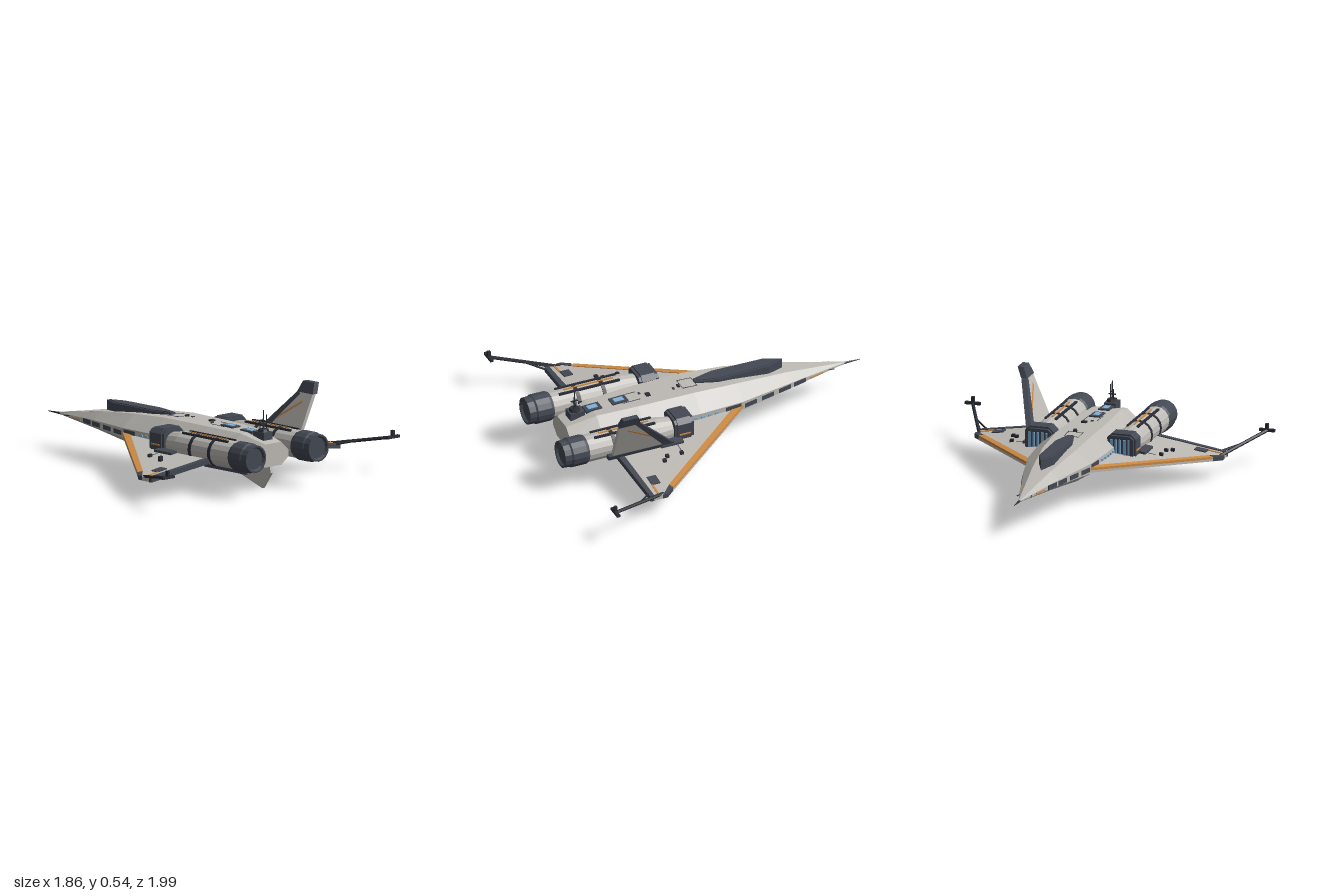
import * as THREE from 'three';

const mat = (name, color) => Object.assign(new THREE.MeshStandardMaterial({ color }), { name });
const hullGrey = mat('hull grey', 0xbdbab5);
const slate = mat('slate', 0x434853);
const charcoal = mat('charcoal', 0x2b2e35);
const orange = mat('orange', 0xcc8b45);
const blue = mat('light blue', 0x7fb2dc);

// Hull stations: z, half width, top y, bottom y
const stations = [
  [-0.9, 0.004, 0.206, 0.196], [-0.5, 0.11, 0.275, 0.165], [-0.17, 0.19, 0.312, 0.13],
  [0.1, 0.212, 0.328, 0.115], [0.45, 0.2, 0.325, 0.11], [0.7, 0.165, 0.318, 0.115], [0.88, 0.12, 0.275, 0.14],
];
function hullAt(z) {
  let i = 0;
  while (i < stations.length - 2 && z > stations[i + 1][0]) i++;
  const a = stations[i], b = stations[i + 1], t = (z - a[0]) / (b[0] - a[0]);
  return {
    w: a[1] + (b[1] - a[1]) * t, top: a[2] + (b[2] - a[2]) * t, bottom: a[3] + (b[3] - a[3]) * t,
    yaw: Math.atan2(b[1] - a[1], b[0] - a[0]), pitch: -Math.atan2(b[2] - a[2], b[0] - a[0]),
    belly: -Math.atan2(b[3] - a[3], b[0] - a[0]),
  };
}

export function createModel() {
  const model = new THREE.Group();
  model.name = 'spacecraft';

  const add = (name, geo, material, parent = model) => {
    const g = geo.index ? geo.toNonIndexed() : geo;
    g.computeVertexNormals(); // faceted look
    const m = new THREE.Mesh(g, material);
    m.name = name;
    parent.add(m);
    return m;
  };
  const box = (name, material, [w, h, d], [x, y, z], parent) => {
    const m = add(name, new THREE.BoxGeometry(w, h, d), material, parent);
    m.position.set(x, y, z);
    return m;
  };
  const rod = (name, material, a, b, r, r2 = r) => {
    const p = new THREE.Vector3(...a), q = new THREE.Vector3(...b), dir = q.clone().sub(p);
    const m = add(name, new THREE.CylinderGeometry(r2, r, dir.length(), 6), material);
    m.position.copy(p).add(q).multiplyScalar(0.5);
    m.quaternion.setFromUnitVectors(new THREE.Vector3(0, 1, 0), dir.normalize());
    return m;
  };
  const shapeOf = (pts) => new THREE.Shape(pts.map((p) => new THREE.Vector2(...p)));
  const extrude = (pts, depth) => new THREE.ExtrudeGeometry(shapeOf(pts), { depth, bevelEnabled: false });
  // Horizontal slab from x,z corners, from y0 up to y0 + t
  const slab = (pts, y0, t) => extrude(pts.map(([x, z]) => [x, -z]), t).rotateX(-Math.PI / 2).translate(0, y0, 0);
  // Upright plate from z,y corners, centred on x
  const upright = (pts, t) => extrude(pts, t).translate(0, 0, -t / 2).rotateY(-Math.PI / 2);

  // Eight-sided tapering hull
  const pos = [], n = 8;
  const rings = stations.map(([z, w, t, b]) => {
    const mid = 0.2 + (t + b - 0.4) * 0.3, up = mid + (t - mid) * 0.28, low = mid - (mid - b) * 0.35;
    return [[w * 0.52, t], [w, up], [w, low], [w * 0.55, b], [-w * 0.55, b], [-w, low], [-w, up], [-w * 0.52, t]]
      .map(([x, y]) => [x, y, z]);
  });
  for (let s = 0; s < rings.length - 1; s++) {
    for (let i = 0; i < n; i++) {
      const j = (i + 1) % n, A = rings[s][i], B = rings[s][j], C = rings[s + 1][j], D = rings[s + 1][i];
      pos.push(...A, ...D, ...C, ...A, ...C, ...B);
    }
  }
  const tail = rings[rings.length - 1];
  for (let i = 1; i < n - 1; i++) pos.push(...tail[0], ...tail[i + 1], ...tail[i]);
  const hullGeo = new THREE.BufferGeometry();
  hullGeo.setAttribute('position', new THREE.Float32BufferAttribute(pos, 3));
  add('hull', hullGeo, hullGrey);
  rod('noseSpike', charcoal, [0, 0.2, -0.88], [0, 0.2, -0.99], 0.008, 0.002);

  // Canopy
  add('canopy', slab([[0, -0.5], [0.045, -0.4], [0.05, -0.08], [0.018, 0.05], [-0.018, 0.05],
    [-0.05, -0.08], [-0.045, -0.4]], 0.265, 0.07), slate);
  add('canopyTop', slab([[0, -0.48], [0.035, -0.39], [0.04, -0.09], [0.012, 0.035], [-0.012, 0.035],
    [-0.04, -0.09], [-0.035, -0.39]], 0.335, 0.005), slate);

  // Spine hatches, lights and boxes
  const deck = (name, material, w, h, d, x, z, lift = 0) => {
    const s = hullAt(z);
    const m = box(name, material, [w, h, d], [x, s.top + lift, z]);
    m.rotation.x = s.pitch;
  };
  for (const z of [0.525, 0.69]) {
    deck('hatchFrame', slate, 0.065, 0.016, 0.1, 0, z);
    deck('hatchWindow', blue, 0.035, 0.006, 0.06, 0, z, 0.008);
  }
  deck('spineBox', charcoal, 0.03, 0.02, 0.025, 0.02, 0.35);
  deck('spineBox', charcoal, 0.025, 0.016, 0.014, 0.01, 0.155);
  deck('spineBox', slate, 0.02, 0.01, 0.012, 0.022, 0.19);
  deck('spineBox', slate, 0.015, 0.012, 0.012, -0.015, 0.39);
  for (const s of [-1, 1]) {
    deck('panelSeam', slate, 0.003, 0.004, 0.09, s * 0.043, 0.095);
    deck('panelSeam', slate, 0.003, 0.004, 0.11, s * 0.04, 0.46);
  }
  for (const z of [0.052, 0.14]) deck('panelSeam', slate, 0.086, 0.004, 0.003, 0, z);

  // Sensor turret and mast
  box('turretBase', slate, [0.07, 0.045, 0.09], [0, 0.31, 0.795]);
  const dome = add('turretDome', new THREE.CylinderGeometry(0.028, 0.036, 0.02, 8), charcoal);
  dome.position.set(0, 0.338, 0.8);
  rod('mast', charcoal, [0, 0.33, 0.8], [0, 0.455, 0.8], 0.006, 0.003);
  rod('mast', charcoal, [0.015, 0.33, 0.81], [0.015, 0.43, 0.81], 0.003);
  rod('mast', charcoal, [-0.012, 0.33, 0.785], [-0.012, 0.4, 0.785], 0.003);
  box('mastCrossbar', charcoal, [0.045, 0.006, 0.006], [0, 0.375, 0.8]);
  box('mastCrossbar', charcoal, [0.006, 0.006, 0.045], [0, 0.395, 0.8]);

  // Belly panels, keel pod and ventral fin
  const noseBelly = add('noseBellyPanel', slab([[-0.022, -0.64], [0.022, -0.64], [0.07, -0.3], [-0.07, -0.3]], 0, 0.006), slate);
  noseBelly.rotation.x = hullAt(-0.3).belly;
  noseBelly.position.y = 0.105;
  box('bellyPanel', slate, [0.12, 0.02, 0.18], [0, 0.115, 0.04]);
  box('keelPod', slate, [0.045, 0.045, 0.35], [0, 0.087, 0.505]);
  add('ventralFin', upright([[0.6, 0.068], [0.8, 0.002], [0.87, 0.1], [0.86, 0.145], [0.65, 0.12]], 0.018), hullGrey);

  for (const s of [-1, 1]) {
    // Side panels along the chine
    const chine = (name, material, z, len, h, y = 0.213, out = 0) => {
      const a = hullAt(z);
      const m = box(name, material, [0.008, h, len], [s * (a.w + out), y, z]);
      m.rotation.y = s * a.yaw;
    };
    for (const z of [-0.225, -0.345, -0.465, -0.57]) chine('sidePanel', slate, z, 0.085, 0.026, 0.21);
    chine('sidePanel', slate, -0.11, 0.1, 0.03, 0.22);
    chine('sideStripe', orange, -0.69, 0.09, 0.008, 0.205);
    for (let i = 0; i < 5; i++) chine('sideLight', blue, 0.0 + i * 0.045, 0.024, 0.012, 0.222, 0.002);
    rod('noseProbe', charcoal, [s * 0.028, 0.205, -0.74], [s * 0.042, 0.205, -0.81], 0.003);

    // Drooping wing and its plates
    const wing = (name, pts, lift, t, material) => {
      const g = slab(pts.map(([x, z]) => [s * x, z]), lift - t, t), p = g.attributes.position;
      for (let i = 0; i < p.count; i++) p.setY(i, p.getY(i) + 0.213 - (Math.abs(p.getX(i)) - 0.19) * 0.135);
      return add(name, g, material);
    };
    wing('wing', [[0.1, -0.17], [0.19, -0.17], [0.745, 0.55], [0.745, 0.635], [0.1, 0.68]], 0, 0.024, hullGrey);
    wing('wingLeadingEdge', [[0.188, -0.175], [0.705, 0.497], [0.675, 0.51], [0.188, -0.11]], 0.004, 0.014, orange);
    wing('wingTipEdge', [[0.707, 0.5], [0.748, 0.55], [0.748, 0.58], [0.68, 0.513]], 0.004, 0.026, slate);
    wing('trailingEdge', [[0.13, 0.66], [0.745, 0.628], [0.745, 0.655], [0.13, 0.7]], 0.004, 0.03, slate);
    wing('tipPlate', [[0.575, 0.55], [0.645, 0.55], [0.645, 0.605], [0.575, 0.605]], 0.006, 0.009, slate);
    wing('tipStripe', [[0.645, 0.595], [0.73, 0.595], [0.73, 0.607], [0.645, 0.607]], 0.004, 0.006, orange);
    for (const [x, z] of [[0.45, 0.33], [0.45, 0.42], [0.48, 0.45]])
      wing('wingFitting', [[x - 0.01, z - 0.01], [x + 0.01, z - 0.01], [x + 0.01, z + 0.01], [x - 0.01, z + 0.01]], 0.016, 0.018, charcoal);
    wing('wingSeam', [[0.36, 0.318], [0.42, 0.318], [0.42, 0.322], [0.36, 0.322]], 0.002, 0.003, slate);
    wing('wingRootPlate', [[0.32, 0.28], [0.37, 0.28], [0.37, 0.42], [0.32, 0.42]], 0.014, 0.018, slate);

    // Wingtip boom
    rod('tipBoom', charcoal, [s * 0.72, 0.132, 0.56], [s * 0.885, 0.2, 0.935], 0.01);
    rod('tipBrace', charcoal, [s * 0.7, 0.14, 0.645], [s * 0.81, 0.168, 0.76], 0.006);
    rod('tipBrace', charcoal, [s * 0.74, 0.14, 0.63], [s * 0.81, 0.168, 0.76], 0.006);
    box('tipCrossbar', charcoal, [0.092, 0.016, 0.02], [s * 0.886, 0.202, 0.94]);
    box('tipPost', charcoal, [0.018, 0.042, 0.018], [s * 0.885, 0.22, 0.94]);

    // Engine pod
    const engine = new THREE.Group();
    engine.name = 'engine';
    engine.position.set(s * 0.247, 0.23, 0);
    model.add(engine);
    const lathe = (name, prof, material) =>
      add(name, new THREE.LatheGeometry(prof.map(([z, r]) => new THREE.Vector2(r, z)), 16).rotateX(Math.PI / 2), material, engine);
    lathe('engineBody', [[0.3, 0], [0.3, 0.062], [0.4, 0.081], [0.86, 0.081], [0.86, 0]], hullGrey);
    lathe('nozzle', [[0.845, 0], [0.845, 0.08], [0.865, 0.088], [0.95, 0.088], [0.96, 0.082], [1.0, 0.08], [1.0, 0.07], [0.985, 0.062], [0.985, 0]], slate);
    for (const z of [0.53, 0.69]) lathe('engineBand', [[z - 0.011, 0.078], [z - 0.011, 0.085], [z + 0.011, 0.085], [z + 0.011, 0.078]], charcoal);
    for (const k of [-1, 1]) box('engineRail', charcoal, [0.012, 0.014, 0.38], [k * 0.03, 0.077, 0.61], engine);
    box('engineStripe', orange, [0.009, 0.008, 0.31], [0, 0.081, 0.605], engine);

    // Chamfered intake with grille slats
    const c = 0.058, o = 0.087;
    add('intake', extrude([[c, -o], [o, -c], [o, c], [c, o], [-c, o], [-o, c], [-o, -c], [-c, -o]], 0.085).translate(0, 0.002, 0.215), slate, engine);
    add('intakeLip', extrude([[c, -0.075], [0.077, -c], [0.077, c], [c, 0.077], [-c, 0.077], [-0.077, c], [-0.077, -c], [-c, -0.075]], 0.12).translate(0, 0.002, 0.195), slate, engine);
    for (let i = -2; i <= 2; i++) box('intakeSlat', blue, [0.012, 0.09, 0.008], [i * 0.026, 0.015, 0.191], engine);
    box('intakeStripe', orange, [0.006, 0.008, 0.07], [s * 0.088, -0.005, 0.255], engine);
  }

  // Single canted tail fin on the left side
  const fin = (name, pts, t, material) => {
    const g = upright(pts, t), p = g.attributes.position;
    for (let i = 0; i < p.count; i++) p.setX(i, p.getX(i) + 0.345 + (p.getY(i) - 0.2) * 0.44);
    return add(name, g, material);
  };
  fin('tailFin', [[0.36, 0.2], [0.72, 0.2], [0.73, 0.48], [0.61, 0.48]], 0.026, hullGrey);
  fin('finLeadingEdge', [[0.34, 0.2], [0.4, 0.2], [0.63, 0.47], [0.61, 0.485]], 0.032, slate);
  fin('finCap', [[0.605, 0.478], [0.735, 0.478], [0.72, 0.54], [0.625, 0.54]], 0.036, slate);
  fin('finBase', [[0.34, 0.185], [0.745, 0.185], [0.745, 0.215], [0.34, 0.215]], 0.036, slate);
  fin('finStripe', [[0.48, 0.315], [0.5, 0.315], [0.67, 0.425], [0.67, 0.438]], 0.031, orange);
  box('finActuator', charcoal, [0.03, 0.05, 0.1], [0.315, 0.23, 0.58]);
  box('finActuator', slate, [0.06, 0.03, 0.1], [0.19, 0.2, 0.735]);

  return model;
}
